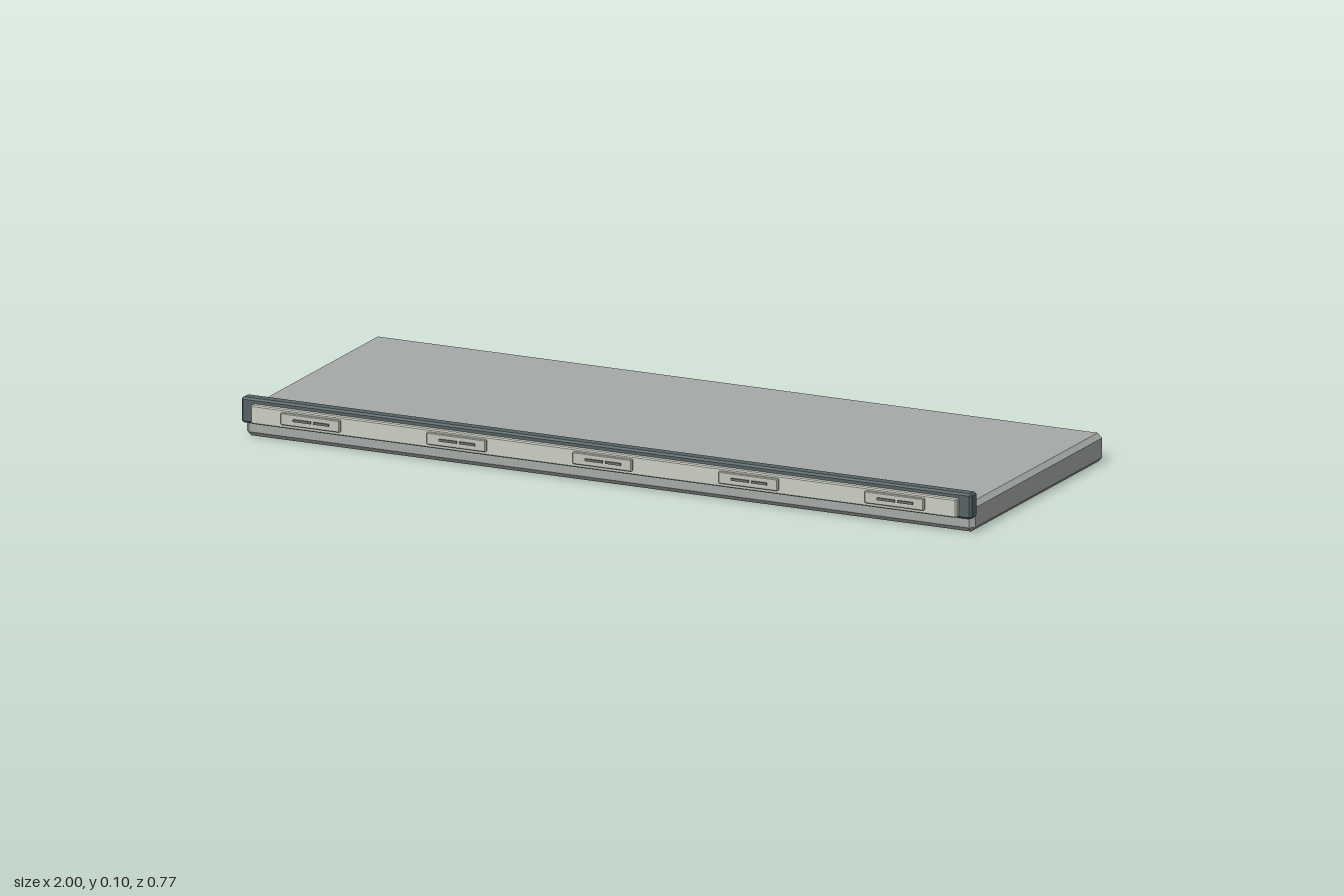
import * as THREE from 'three';
import { ConvexGeometry } from 'three/addons/geometries/ConvexGeometry.js';

const material = (name, color) => {
  const m = new THREE.MeshStandardMaterial({ color });
  m.name = name;
  return m;
};

// Box with flat chamfers of width c on all edges, given by its min and max corners
function chamferedBox(name, mat, min, max, c) {
  const size = max.map((v, i) => (v - min[i]) / 2);
  const points = [];
  for (const sx of [-1, 1]) for (const sy of [-1, 1]) for (const sz of [-1, 1]) {
    for (let axis = 0; axis < 3; axis++) {
      const [x, y, z] = size.map((h, i) => (i === axis ? h : h - c));
      points.push(new THREE.Vector3(sx * x, sy * y, sz * z));
    }
  }
  const mesh = new THREE.Mesh(new ConvexGeometry(points), mat);
  mesh.position.set(...max.map((v, i) => (v + min[i]) / 2));
  mesh.name = name;
  return mesh;
}

export function createModel() {
  const board = material('boardGrey', 0xa4a9a6);
  const dark = material('railSlate', 0x566264);
  const pale = material('stripPale', 0xc9cdc2);
  const label = material('labelPale', 0xc2c5ba);
  const ink = material('markGrey', 0x6a706e);

  const shelf = new THREE.Group();
  shelf.name = 'shelf';

  // Board, front rail and the pale strip set on the rail
  shelf.add(
    chamferedBox('shelfBoard', board, [-0.998, 0, -0.385], [0.998, 0.074, 0.343], 0.012),
    chamferedBox('frontRail', dark, [-1, 0.038, 0.325], [1, 0.103, 0.359], 0.005),
    chamferedBox('labelStrip', pale, [-0.967, 0.042, 0.352], [0.967, 0.09, 0.374], 0.003),
  );

  // Five labels, each with two printed dashes
  for (let i = -2; i <= 2; i++) {
    const tag = new THREE.Group();
    tag.name = 'priceLabel';
    tag.position.x = i * 0.4;
    tag.add(chamferedBox('labelPlate', label, [-0.081, 0.052, 0.37], [0.081, 0.083, 0.382], 0.002));
    for (const [x, w] of [[-0.021, 0.048], [0.032, 0.042]]) {
      const dash = new THREE.Mesh(new THREE.BoxGeometry(w, 0.006, 0.005), ink);
      dash.position.set(x, 0.068, 0.3835);
      dash.name = 'labelMark';
      tag.add(dash);
    }
    shelf.add(tag);
  }
  return shelf;
}
